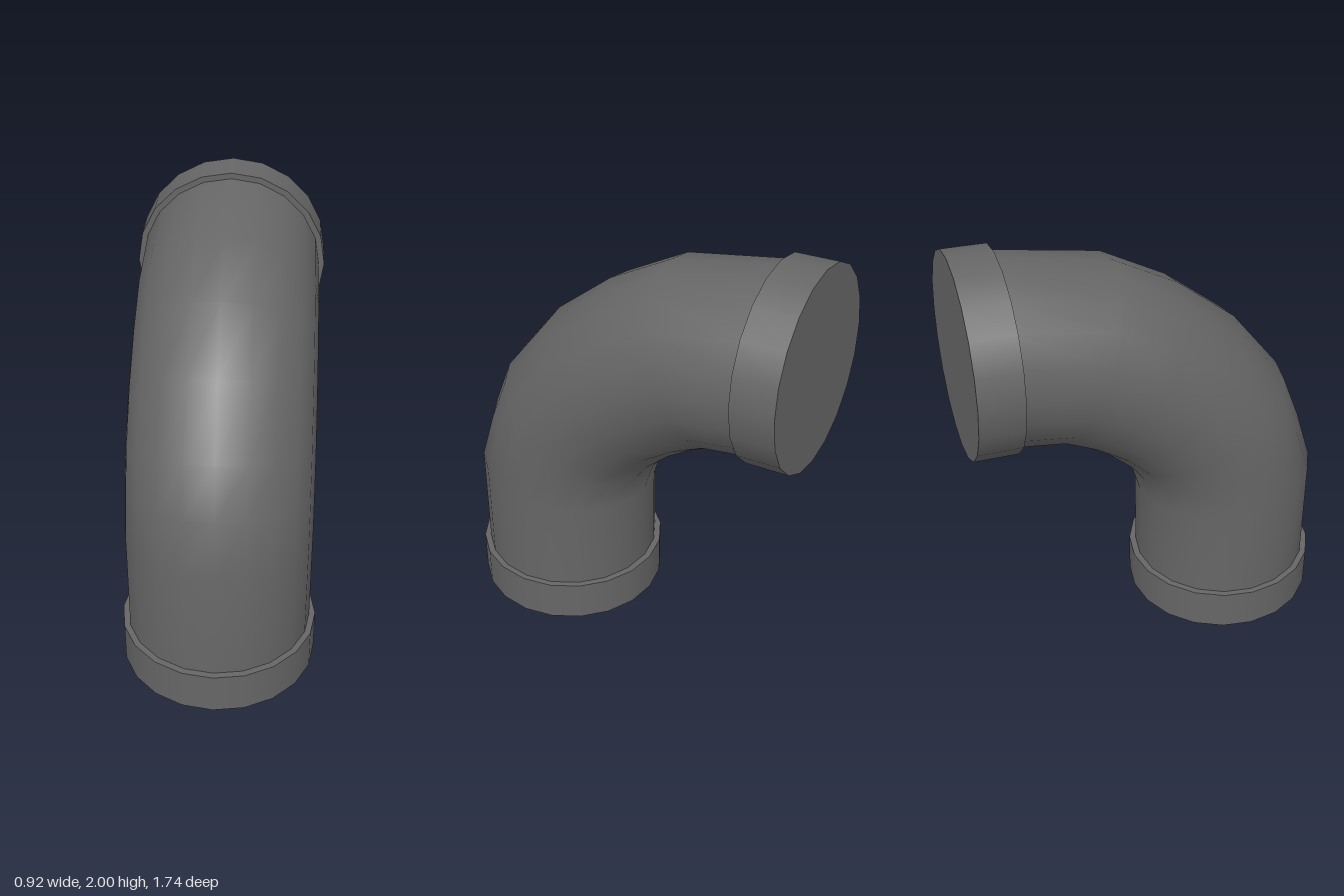
import * as THREE from 'three';

const SIDES = 20;
const PIPE_R = 0.433;
const COLLAR_R = 0.461;

// Outer and inner bend points of each pipe ring: [outer z, outer y, inner z, inner y]
const RINGS = [
  [0.84, 0.1, -0.02, 0.1],
  [0.84, 0.73, -0.02, 0.62],
  [0.76, 0.98, -0.065, 0.77],
  [0.67, 1.21, -0.125, 0.85],
  [0.44, 1.5, -0.225, 0.94],
  [0.16, 1.72, -0.35, 1.02],
  [-0.15, 1.885, -0.48, 1.08],
  [-0.65, 1.97, -0.67, 1.105],
  [-0.75, 1.972, -0.765, 1.107],
];

// Skin the rings with a smooth, seamless tube
function elbowGeometry() {
  const positions = [], index = [];
  RINGS.forEach(([oz, oy, iz, iy], i) => {
    for (let j = 0; j < SIDES; j++) {
      const a = (j / SIDES) * Math.PI * 2, c = Math.cos(a) / 2;
      positions.push(
        PIPE_R * Math.sin(a),
        (oy + iy) / 2 + (oy - iy) * c,
        (oz + iz) / 2 + (oz - iz) * c
      );
      if (i === RINGS.length - 1) continue;
      const k = (j + 1) % SIDES, p = i * SIDES, q = p + SIDES;
      index.push(p + j, p + k, q + k, p + j, q + k, q + j);
    }
  });
  const g = new THREE.BufferGeometry();
  g.setAttribute('position', new THREE.Float32BufferAttribute(positions, 3));
  g.setIndex(index);
  g.computeVertexNormals();
  return g;
}

export function createModel() {
  const group = new THREE.Group();
  group.name = 'pipeElbow';
  const material = new THREE.MeshStandardMaterial({ color: 0x666666 });

  const add = (name, geometry, y = 0, z = 0, tilt = 0) => {
    const mesh = new THREE.Mesh(geometry, material);
    mesh.name = name;
    mesh.position.set(0, y, z);
    mesh.rotation.x = tilt;
    group.add(mesh);
  };

  // Bent pipe
  add('bentPipe', elbowGeometry());

  // Closed collars on both ends
  const collar = new THREE.CylinderGeometry(COLLAR_R, COLLAR_R, 0.2, SIDES);
  add('bottomCollar', collar, 0.1, 0.41);
  add('rearCollar', collar, 1.539, -0.758, -Math.PI / 2 + 0.018);

  return group;
}
